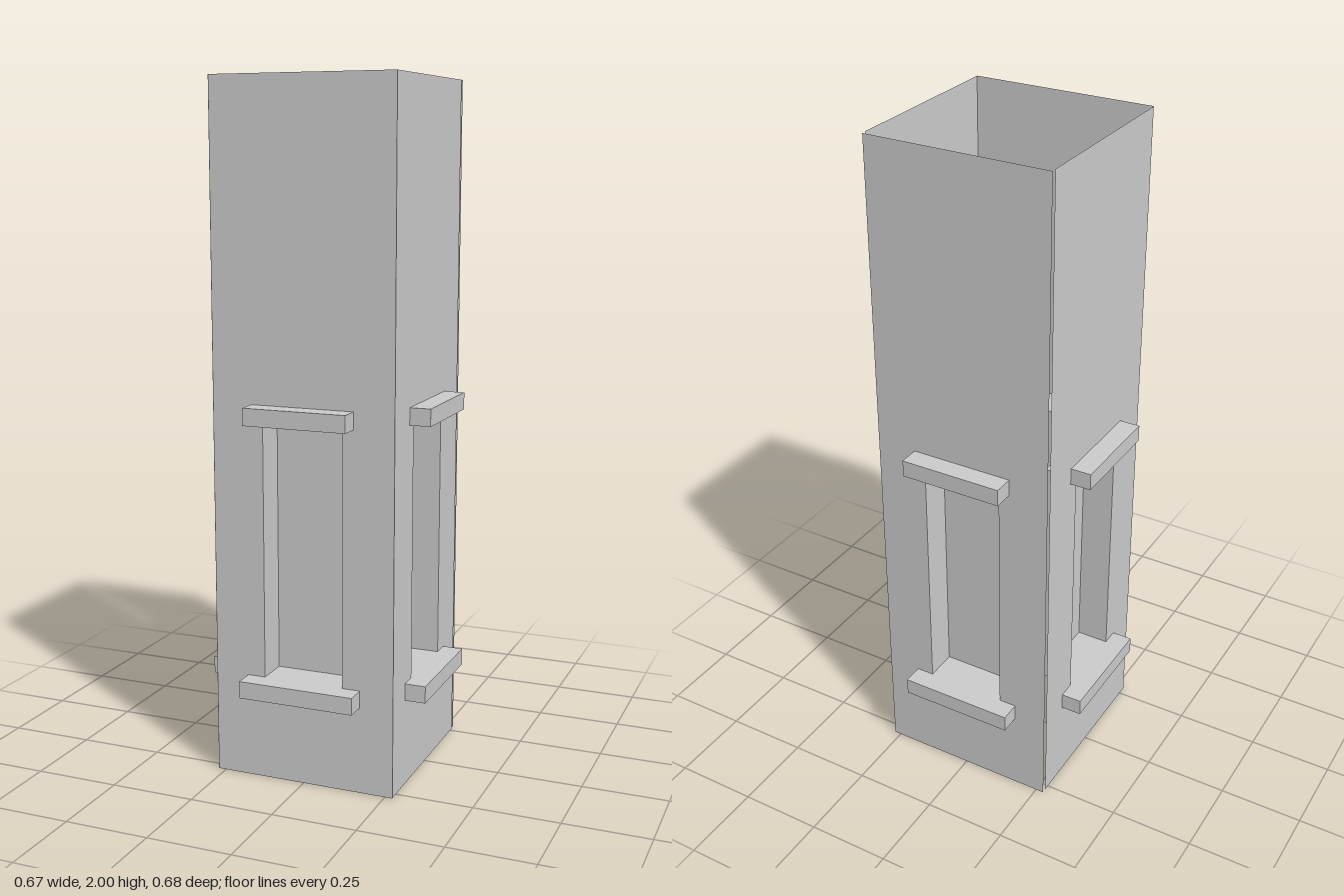
import * as THREE from 'three';

const grey = new THREE.MeshStandardMaterial({ color: 0xcccccc, side: THREE.DoubleSide, flatShading: true });
const paneGrey = new THREE.MeshStandardMaterial({ color: 0xdadada, side: THREE.DoubleSide, flatShading: true });

const WALL_HALF = 0.273, HEIGHT = 2;
const OPEN_HALF = 0.12, OPEN_LOW = 0.305, OPEN_HIGH = 1.05, DEPTH = 0.097;
const BAR_HEIGHT = 0.05, BAR_DEPTH = 0.061;

function addMesh(parent, name, geometry, x, y, z, material = grey) {
  const mesh = new THREE.Mesh(geometry, material);
  mesh.name = name;
  mesh.position.set(x, y, z);
  parent.add(mesh);
  return mesh;
}

// One sheet wall facing +z with a recessed window, lintel and sill
function createSide(name) {
  const side = new THREE.Group();
  side.name = name;

  const outline = new THREE.Shape([
    new THREE.Vector2(-WALL_HALF, 0), new THREE.Vector2(WALL_HALF, 0),
    new THREE.Vector2(WALL_HALF, HEIGHT), new THREE.Vector2(-WALL_HALF, HEIGHT),
  ]);
  outline.holes.push(new THREE.Path([
    new THREE.Vector2(-OPEN_HALF, OPEN_LOW), new THREE.Vector2(-OPEN_HALF, OPEN_HIGH),
    new THREE.Vector2(OPEN_HALF, OPEN_HIGH), new THREE.Vector2(OPEN_HALF, OPEN_LOW),
  ]));
  addMesh(side, 'wall', new THREE.ShapeGeometry(outline), 0, 0, 0);

  // Recess: pane, two jambs, floor and ceiling
  const openHeight = OPEN_HIGH - OPEN_LOW, midY = (OPEN_HIGH + OPEN_LOW) / 2;
  addMesh(side, 'windowPane', new THREE.PlaneGeometry(OPEN_HALF * 2, openHeight), 0, midY, -DEPTH, paneGrey);
  for (const s of [-1, 1]) {
    const jamb = new THREE.PlaneGeometry(DEPTH, openHeight).rotateY(-s * Math.PI / 2);
    addMesh(side, s > 0 ? 'leftJamb' : 'rightJamb', jamb, s * OPEN_HALF, midY, -DEPTH / 2);
    const slab = new THREE.PlaneGeometry(OPEN_HALF * 2, DEPTH).rotateX(s * Math.PI / 2);
    addMesh(side, s > 0 ? 'recessCeiling' : 'recessFloor', slab, 0, s > 0 ? OPEN_HIGH : OPEN_LOW, -DEPTH / 2);
  }

  // Projecting bars above and below the window
  addMesh(side, 'lintel', new THREE.BoxGeometry(0.306, BAR_HEIGHT, BAR_DEPTH),
    0, OPEN_HIGH + BAR_HEIGHT / 2, BAR_DEPTH / 2);
  addMesh(side, 'sill', new THREE.BoxGeometry(0.346, BAR_HEIGHT, BAR_DEPTH),
    0, OPEN_LOW - BAR_HEIGHT / 2, BAR_DEPTH / 2);
  return side;
}

export function createModel() {
  const model = new THREE.Group();
  model.name = 'tower';
  // The four sides leave a narrow slit at the back corners
  const sides = [
    ['frontSide', 0, 0, 0.28],
    ['leftSide', 1, 0.272, 0.006],
    ['backSide', 2, -0.002, -0.282],
    ['rightSide', 3, -0.274, 0.006],
  ];
  for (const [name, turns, x, z] of sides) {
    const side = createSide(name);
    side.rotation.y = turns * Math.PI / 2;
    side.position.set(x, 0, z);
    model.add(side);
  }
  return model;
}
